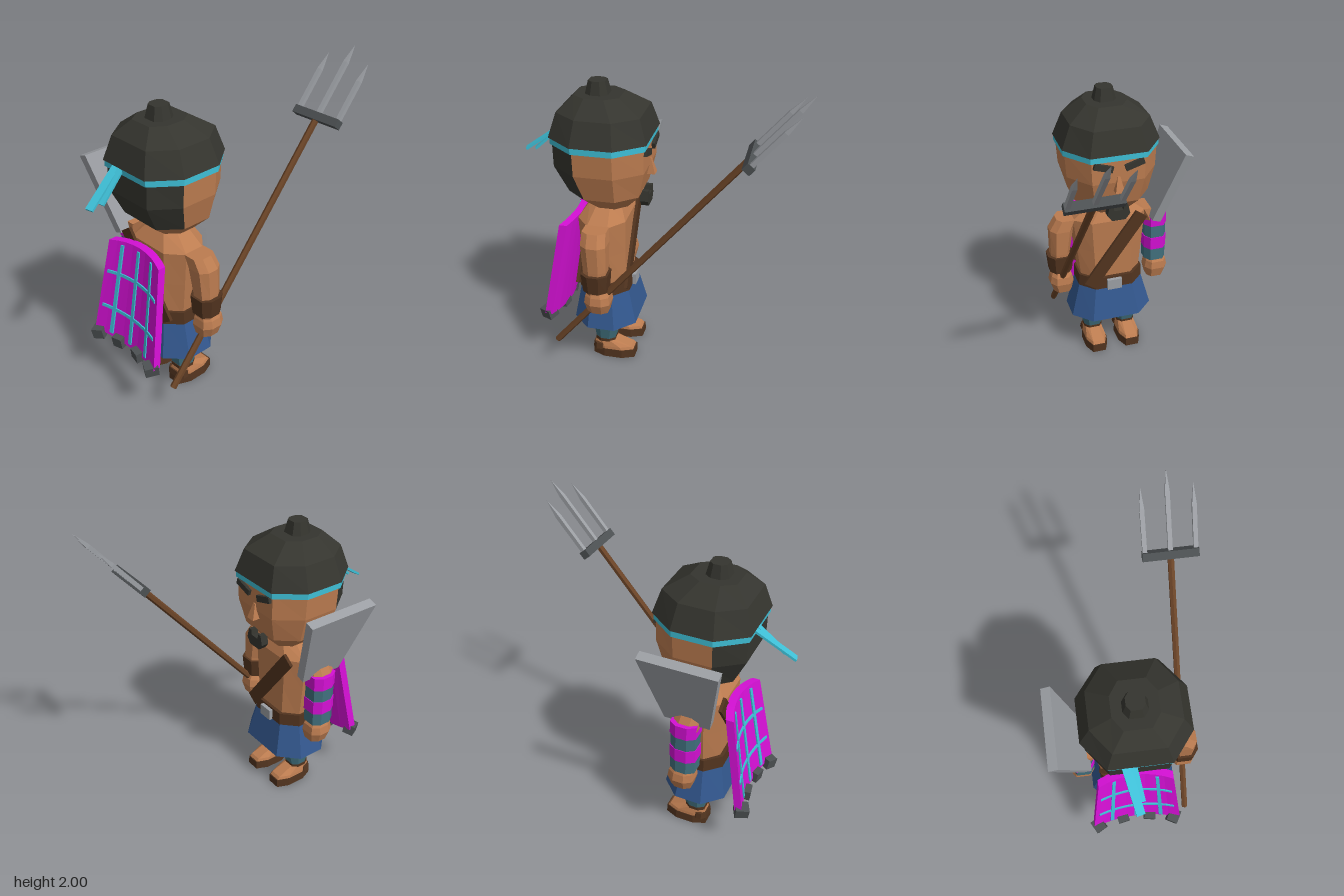
import * as THREE from 'three';

const paint = (name, color) => {
  const m = new THREE.MeshStandardMaterial({ color, flatShading: true });
  m.name = name;
  return m;
};

export function createModel() {
  const skin = paint('skin', 0xbc7c50), dark = paint('charcoal', 0x35352f), leather = paint('leather', 0x52341f);
  const blue = paint('blue cloth', 0x33588f), teal = paint('teal cloth', 0x41707e), magenta = paint('magenta', 0xd410d4);
  const cyan = paint('cyan', 0x3ebfd6), steel = paint('steel', 0x9c9fa4), iron = paint('iron', 0x4c5052);
  const wood = paint('wood', 0x6b4427);
  const model = new THREE.Group();
  model.name = 'tridentWarrior';

  const add = (name, geo, mat, x = 0, y = 0, z = 0, parent = model) => {
    const m = new THREE.Mesh(geo, mat);
    m.name = name;
    m.position.set(x, y, z);
    parent.add(m);
    return m;
  };
  const box = (w, h, d) => new THREE.BoxGeometry(w, h, d);

  // Octagonal body from rings [y, halfX, halfZ, centreX, centreZ], bottom to top
  const corners = [[1, -.43], [1, .43], [.58, 1], [-.58, 1], [-1, .43], [-1, -.43], [-.58, -1], [.58, -1]];
  const allFaces = [0, 1, 2, 3, 4, 5, 6, 7];
  const loft = (rings, faces = allFaces, caps = true) => {
    const pts = rings.map(([y, hx, hz, cx, cz]) => corners.map(([a, b]) => [cx + a * hx, y, cz + b * hz]));
    const out = [];
    const tri = (...p) => p.forEach(q => out.push(...q));
    for (let r = 0; r < pts.length - 1; r++) {
      for (const i of faces) {
        const j = (i + 1) % 8, a = pts[r][i], b = pts[r][j], c = pts[r + 1][j], d = pts[r + 1][i];
        tri(a, d, c);
        tri(a, c, b);
      }
    }
    if (caps) {
      const lo = pts[0], hi = pts[pts.length - 1];
      for (let i = 1; i < 7; i++) {
        tri(lo[0], lo[i], lo[i + 1]);
        tri(hi[0], hi[i + 1], hi[i]);
      }
    }
    const g = new THREE.BufferGeometry();
    g.setAttribute('position', new THREE.Float32BufferAttribute(out, 3));
    g.computeVertexNormals();
    return g;
  };

  // Straight bar between two points
  const beam = (name, a, b, w, t, mat) => {
    const A = new THREE.Vector3(...a), B = new THREE.Vector3(...b);
    const m = add(name, box(w, t, A.distanceTo(B)), mat);
    m.position.copy(A).add(B).multiplyScalar(.5);
    m.lookAt(B);
    return m;
  };

  // Head: skin with hair on the three rear faces
  const jaw = [1.2, .245, .22, 0, .34], cheek = [1.37, .29, .28, 0, .36], brow = [1.54, .3, .28, 0, .36];
  add('chin', loft([[1.1, .14, .12, 0, .325], jaw]), skin);
  add('face', loft([jaw, cheek, brow], [0, 4, 5, 6, 7], false), skin);
  add('hair', loft([jaw, cheek, brow], [1, 2, 3], false), dark);

  // Helmet, headband and its tails
  add('headband', loft([[1.52, .31, .292, 0, .36], [1.56, .31, .292, 0, .36]]), cyan);
  add('helmet', loft([[1.56, .315, .3, 0, .36], [1.71, .255, .255, 0, .36], [1.8, .13, .14, 0, .385]]), dark);
  add('helmetKnob', loft([[1.78, .075, .075, 0, .393], [1.88, .052, .052, 0, .393]]), dark);
  beam('longTail', [-.08, 1.55, .645], [-.025, 1.385, .885], .05, .014, cyan);
  beam('shortTail', [-.04, 1.55, .645], [-.01, 1.4, .815], .04, .014, cyan);

  // Facial features on the -z side
  for (const s of [-1, 1]) {
    add('eyebrow', box(.125, .04, .03), dark, s * .1, 1.485, .075).rotation.z = s * .3;
  }
  const nose = new THREE.CylinderGeometry(.012, .042, .1, 4, 1).rotateY(Math.PI / 4);
  const np = nose.attributes.position;
  for (let i = 0; i < np.count; i++) {
    np.setZ(i, np.getZ(i) > 0 ? .03 : (np.getY(i) < 0 ? -.035 : -.005));
  }
  nose.computeVertexNormals();
  add('nose', nose, skin, 0, 1.36, .079);
  const goatee = new THREE.Shape([[-.075, 1.14], [-.045, 1.1], [.045, 1.1], [.075, 1.14], [.06, 1.205],
    [.035, 1.205], [.03, 1.17], [-.03, 1.17], [-.035, 1.205], [-.06, 1.205]].map(p => new THREE.Vector2(...p)));
  add('goatee', new THREE.ExtrudeGeometry(goatee, { depth: .05, bevelEnabled: false }), dark, 0, 0, .08);

  // Torso, belt and kilt
  add('torso', loft([[.55, .2, .14, 0, .36], [.8, .225, .145, 0, .36], [1.02, .245, .152, 0, .36],
    [1.11, .13, .1, 0, .35]]), skin);
  add('belt', loft([[.51, .222, .165, 0, .36], [.595, .218, .163, 0, .36]]), leather);
  add('buckle', box(.1, .075, .03), steel, 0, .545, .187);
  add('kilt', loft([[.28, .28, .205, 0, .355], [.53, .215, .155, 0, .36]]), blue);
  beam('frontStrap', [-.19, 1.05, .2], [.17, .55, .2], .02, .09, leather);
  beam('rearStrap', [-.19, 1.05, .52], [.17, .55, .52], .02, .09, leather);

  // Arms
  for (const s of [-1, 1]) {
    const arm = new THREE.Group();
    arm.name = s > 0 ? 'leftArm' : 'rightArm';
    model.add(arm);
    add('upperArm', loft([[.6, .06, .06, s * .335, .35], [.78, .064, .072, s * .335, .35],
      [.95, .078, .08, s * .32, .355], [1.025, .07, .075, s * .28, .36]]), skin, 0, 0, 0, arm);
    add('hand', loft([[.48, .06, .065, s * .33, .34], [.55, .08, .082, s * .335, .34],
      [.6, .07, .075, s * .335, .34], [.63, .055, .06, s * .335, .345]]), skin, 0, 0, 0, arm);
    if (s > 0) {
      add('bracer', loft([[.635, .075, .075, .335, .35], [.76, .086, .085, .335, .35]]), leather, 0, 0, 0, arm);
    } else {
      for (let i = 0; i < 4; i++) {
        const y = .62 + i * .09, h = i % 2 ? .078 : .074;
        add('sleeveBand', loft([[y, h, h + .006, -.328, .35], [y + .09, h, h + .006, -.328, .35]]),
          i % 2 ? magenta : teal, 0, 0, 0, arm);
      }
    }
  }

  // Legs and sandals
  for (const s of [-1, 1]) {
    const x = s * .12, leg = new THREE.Group();
    leg.name = s > 0 ? 'leftLeg' : 'rightLeg';
    model.add(leg);
    const part = (name, rings, mat) => add(name, loft(rings.map(([y, hx, hz, cz]) => [y, hx, hz, x, cz])), mat, 0, 0, 0, leg);
    part('thigh', [[.2, .068, .075, .35], [.34, .075, .085, .355]], skin);
    part('sock', [[.12, .06, .062, .36], [.235, .078, .083, .35]], teal);
    part('ankleStrap', [[.11, .062, .066, .36], [.135, .062, .066, .36]], leather);
    part('foot', [[.05, .072, .135, .3], [.075, .068, .125, .31], [.12, .055, .062, .362]], skin);
    part('heelGuard', [[.05, .074, .045, .4], [.09, .066, .042, .398]], leather);
    part('sole', [[0, .078, .14, .302], [.057, .074, .139, .302]], leather);
  }

  // Curved cape: every panel is a box bent by the same rule
  const capePanel = (name, u0, u1, v0, v1, d0, d1, mat) => {
    const g = new THREE.BoxGeometry(1, 1, 1, 8, 1, 1), p = g.attributes.position;
    for (let i = 0; i < p.count; i++) {
      const u = u0 + (u1 - u0) * (p.getX(i) + .5), v = v0 + (v1 - v0) * (p.getY(i) + .5);
      const d = d0 + (d1 - d0) * (p.getZ(i) + .5);
      p.setXYZ(i, -.012 + u * (.29 - .06 * v), .33 + .68 * v + .02 * u * u * (1 - 2 * v),
        .655 - .115 * v + .05 * u * u + d);
    }
    g.computeVertexNormals();
    return add(name, g, mat);
  };
  capePanel('cape', -1, 1, 0, 1, -.025, .025, magenta);
  for (const u of [-.57, 0, .57]) capePanel('capeStripe', u - .045, u + .045, .04, .965, .024, .034, cyan);
  for (const v of [.3, .67]) capePanel('capeCrossStripe', -.9, .9, v - .014, v + .014, .024, .033, cyan);
  [[-.27, .715, .5], [-.105, .675, .2], [.08, .675, -.2], [.235, .715, -.5]].forEach(([x, z, r]) => {
    add('capeWeight', box(.075, .07, .085), iron, x, .34, z).rotation.set(.12, r, r * .25);
  });

  // Broad tapered blade behind the shoulder
  const blade = box(.06, .53, 1), bp = blade.attributes.position;
  for (let i = 0; i < bp.count; i++) bp.setZ(i, bp.getZ(i) * (bp.getY(i) > 0 ? .49 : .29));
  blade.computeVertexNormals();
  add('blade', blade, steel, -.388, 1.215, .355).rotation.z = .34;

  // Trident
  const trident = new THREE.Group();
  trident.name = 'trident';
  trident.position.set(.335, .2, .63);
  trident.rotation.x = -.702;
  model.add(trident);
  add('shaft', new THREE.CylinderGeometry(.021, .021, 1.86, 6), wood, 0, .93, 0, trident);
  add('crossbar', box(.335, .05, .055), iron, 0, 1.86, 0, trident);
  for (const [x, tip] of [[-.15, 2.265], [0, 2.355], [.15, 2.265]]) {
    const profile = [[0, 1.87], [.019, 1.87], [.019, tip - .12], [0, tip]].map(p => new THREE.Vector2(...p));
    add('prong', new THREE.LatheGeometry(profile, 4).rotateY(Math.PI / 4), steel, x, 0, 0, trident);
  }
  return model;
}
